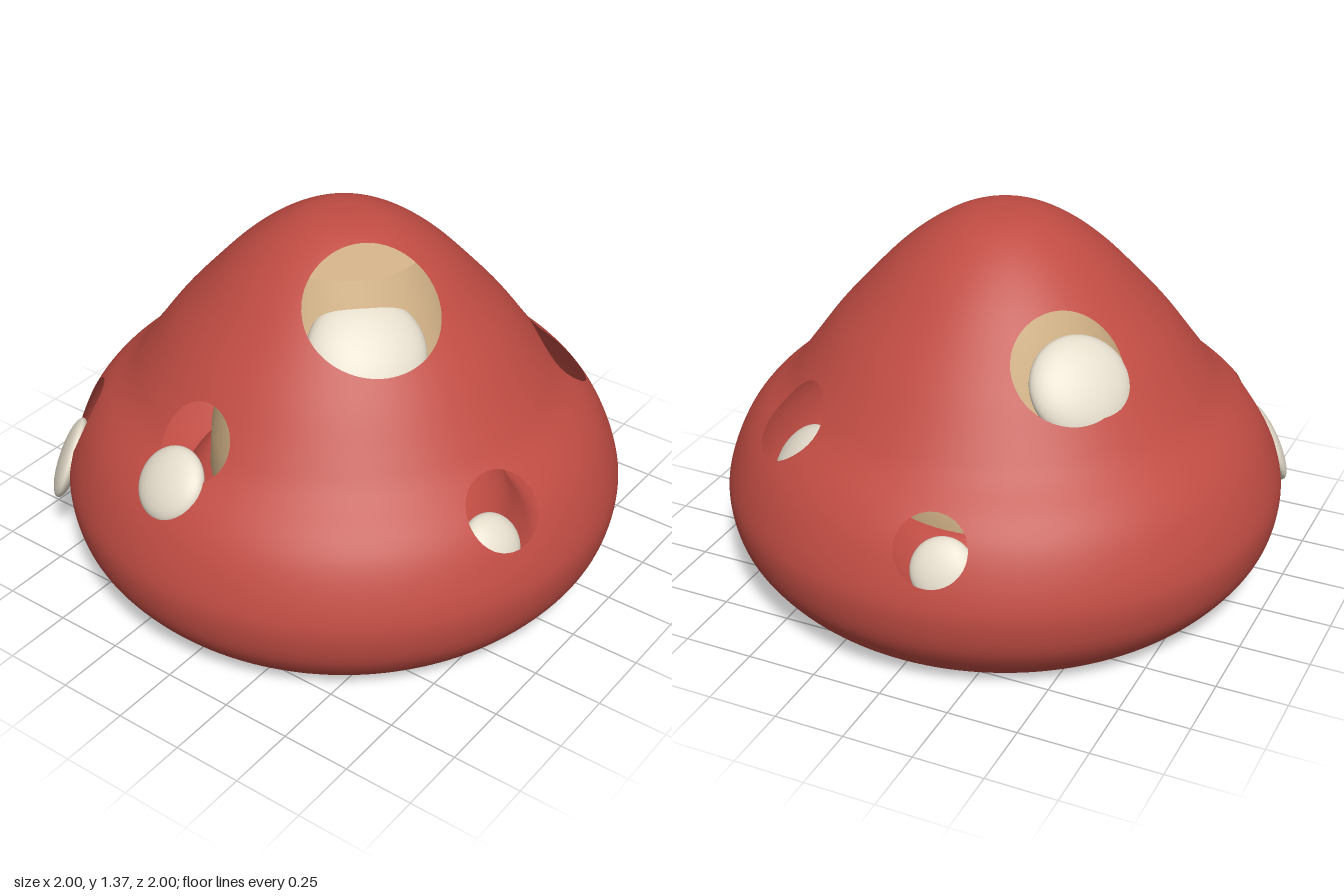
import * as THREE from 'three';
import { toCreasedNormals } from 'three/addons/utils/BufferGeometryUtils.js';

const mat = (name, color, side = THREE.FrontSide) => {
  const m = new THREE.MeshStandardMaterial({ color, side });
  m.name = name;
  return m;
};
const v2 = ([x, y]) => new THREE.Vector2(x, y);

// Each spot: hole centre and radius, upward tilt of its axis, cream disc centre, radius and thickness ratio
const SPOTS = [
  { hole: [0.295, 1.19, 0.23], r: 0.235, up: 0.72, disc: [0.28, 1.02, 0.25], dr: 0.205, flat: 0.42 },
  { hole: [-0.42, 1.02, -0.39], r: 0.197, up: 0.61, disc: [-0.43, 0.925, -0.345], dr: 0.178, flat: 0.4 },
  { hole: [-0.08, 0.775, 0.725], r: 0.142, up: 0.64, disc: [-0.105, 0.655, 0.82], dr: 0.13, flat: 0.42 },
  { hole: [-0.775, 0.495, 0.53], r: 0.155, up: 0.35, disc: [-0.81, 0.335, 0.595], dr: 0.153, flat: 0.27 },
  { hole: [0.835, 0.62, 0.25], r: 0.14, up: 0.62, disc: [0.82, 0.495, 0.29], dr: 0.11, flat: 0.5 },
  { hole: [0.53, 0.71, -0.595], r: 0.155, up: 0.68, disc: [0.52, 0.54, -0.55], dr: 0.13, flat: 0.4 },
  { hole: [-0.155, 0.55, -0.92], r: 0.125, up: 0.48, disc: [-0.165, 0.44, -0.85], dr: 0.11, flat: 0.4 },
];

// Axis pointing out of the cap at a spot
function spotAxis({ hole, up }) {
  const flat = new THREE.Vector3(hole[0], 0, hole[2]).normalize();
  return flat.multiplyScalar(Math.sqrt(1 - up * up)).setY(up);
}

// Cut round holes in a surface by clipping every triangle against each cylinder
function cutHoles(geometry, spots) {
  const g = geometry.toNonIndexed();
  const P = g.attributes.position, N = g.attributes.normal;
  let tris = [];
  for (let i = 0; i < P.count; i += 3) {
    tris.push([0, 1, 2].map((k) => ({
      p: new THREE.Vector3().fromBufferAttribute(P, i + k),
      n: new THREE.Vector3().fromBufferAttribute(N, i + k),
    })));
  }
  for (const s of spots) {
    const c = new THREE.Vector3(...s.hole), axis = spotAxis(s);
    const distance = (p) => {
      const d = p.clone().sub(c), along = d.dot(axis);
      return along < -0.4 ? 1 : d.addScaledVector(axis, -along).length() - s.r;
    };
    const kept = [];
    for (const t of tris) {
      const f = t.map((v) => distance(v.p));
      if (f.every((d) => d >= 0)) { kept.push(t); continue; }
      const poly = [];
      t.forEach((a, i) => {
        const j = (i + 1) % 3, b = t[j];
        if (f[i] >= 0) poly.push(a);
        if ((f[i] >= 0) !== (f[j] >= 0)) {
          const k = f[i] / (f[i] - f[j]);
          poly.push({ p: a.p.clone().lerp(b.p, k), n: a.n.clone().lerp(b.n, k).normalize() });
        }
      });
      for (let i = 1; i + 1 < poly.length; i++) kept.push([poly[0], poly[i], poly[i + 1]]);
    }
    tris = kept;
  }
  const verts = tris.flat(), out = new THREE.BufferGeometry();
  const attribute = (key) => new THREE.Float32BufferAttribute(verts.flatMap((v) => v[key].toArray()), 3);
  out.setAttribute('position', attribute('p'));
  out.setAttribute('normal', attribute('n'));
  return out;
}

export function createModel() {
  const red = mat('capRed', 0xc04c43, THREE.DoubleSide);
  const tan = mat('stemTan', 0xd9b88c, THREE.DoubleSide);
  const cream = mat('spotCream', 0xe4dccb);
  const model = new THREE.Group();
  model.name = 'mushroom';
  const add = (name, geometry, material) => {
    const m = new THREE.Mesh(geometry, material);
    m.name = name;
    model.add(m);
    return m;
  };

  // Thin bell-shaped cap
  const capCurve = new THREE.SplineCurve([
    [0.77, 0], [0.83, 0.025], [0.91, 0.1], [0.975, 0.2], [1, 0.32], [0.985, 0.42], [0.935, 0.54],
    [0.87, 0.63], [0.77, 0.725], [0.7, 0.815], [0.6, 0.95], [0.49, 1.075], [0.38, 1.19],
    [0.27, 1.28], [0.16, 1.342], [0.07, 1.363], [0, 1.365],
  ].map(v2));
  add('cap', cutHoles(new THREE.LatheGeometry(capCurve.getPoints(90), 180), SPOTS), red);

  // Underside of the cap, rolling in from the rim and up to the stem
  const underCurve = new THREE.SplineCurve([
    [0.44, 0.36], [0.52, 0.33], [0.59, 0.25], [0.64, 0.14], [0.69, 0.05], [0.73, 0.012], [0.77, 0],
  ].map(v2));
  add('capUnderside', new THREE.LatheGeometry(underCurve.getPoints(36), 120), red);

  // Wide tapering stem inside the cap
  const stemProfile = [
    [0, 0.13], [0.37, 0.13], [0.43, 0.17], [0.475, 0.25], [0.49, 0.34], [0.48, 0.5], [0.45, 0.68],
    [0.41, 0.85], [0.37, 1], [0.33, 1.13], [0.29, 1.25], [0, 1.25],
  ].map(v2);
  add('stem', toCreasedNormals(new THREE.LatheGeometry(stemProfile, 72), 0.7), tan);

  // Small peg under the stem
  add('peg', new THREE.CylinderGeometry(0.1, 0.1, 0.1, 40), red).position.y = 0.145;

  // Flattened cream discs, each set a little below its hole
  const front = new THREE.Vector3(0, 0, 1);
  SPOTS.forEach((s, i) => {
    const disc = add(`spot${i + 1}`, new THREE.SphereGeometry(1, 40, 24), cream);
    disc.position.set(...s.disc);
    disc.scale.set(s.dr, s.dr, s.dr * s.flat);
    disc.quaternion.setFromUnitVectors(front, spotAxis(s));
  });
  return model;
}
